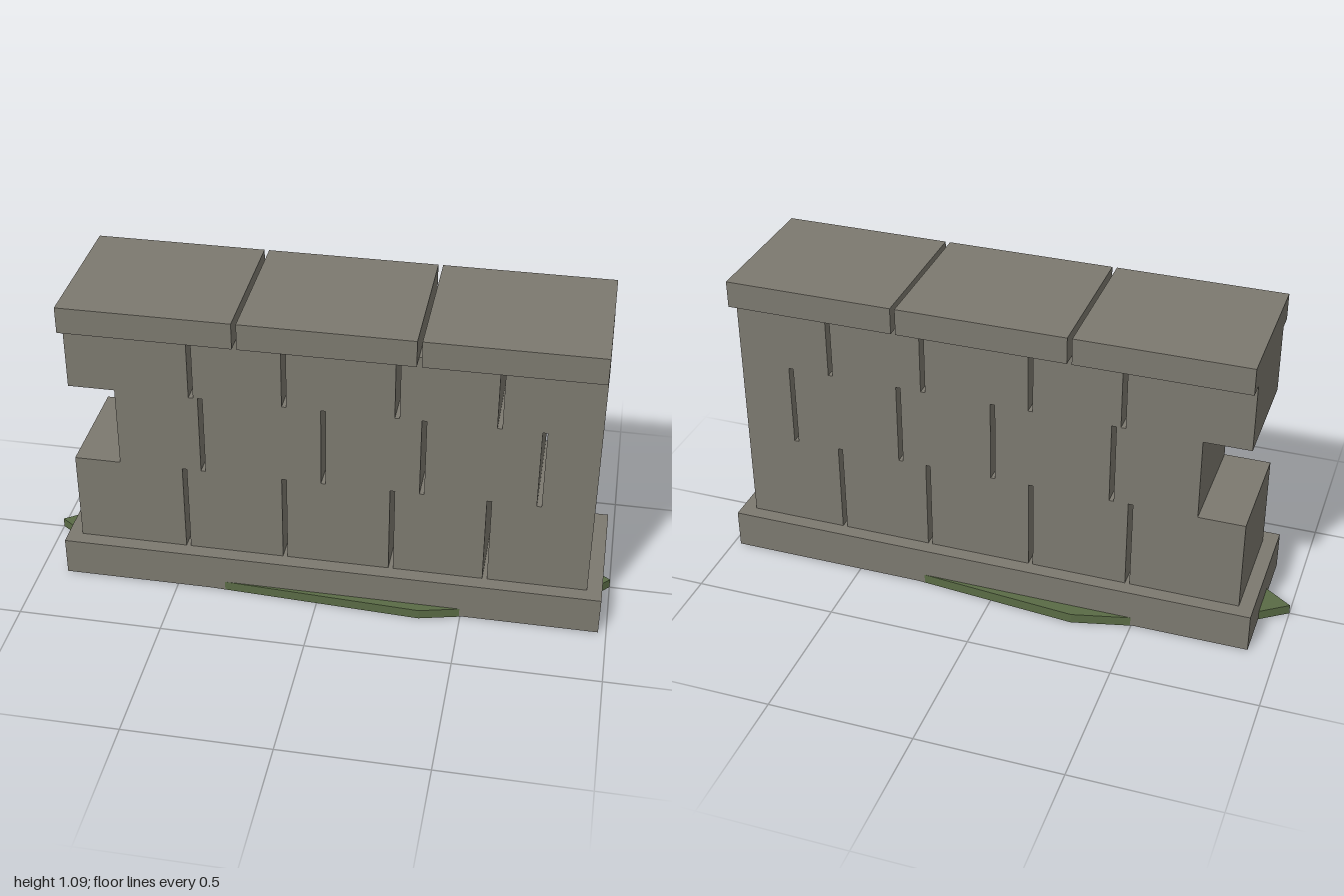
import * as THREE from 'three';

export function createModel() {
  const group = new THREE.Group();
  group.name = 'stoneWall';

  const stone = new THREE.MeshStandardMaterial({ color: 0x7c796f });
  stone.name = 'weathered stone';
  const moss = new THREE.MeshStandardMaterial({ color: 0x5a6b45 });
  moss.name = 'moss green';

  // Block given by its extents on each axis
  function block(name, x0, x1, y0, y1, z0, z1) {
    const mesh = new THREE.Mesh(new THREE.BoxGeometry(x1 - x0, y1 - y0, z1 - z0), stone);
    mesh.position.set((x0 + x1) / 2, (y0 + y1) / 2, (z0 + z1) / 2);
    mesh.name = name;
    group.add(mesh);
  }

  // Row of blocks split by narrow open joints centred on the given x positions
  function course(name, x0, x1, joints, y0, y1, z0, z1) {
    const half = 0.008;
    const edges = [x0 - half, ...joints, x1 + half];
    for (let i = 0; i < edges.length - 1; i++) {
      block(name + (i + 1), edges[i] + half, edges[i + 1] - half, y0, y1, z0, z1);
    }
  }

  // Plinth, three staggered courses (the middle one lacks its end stone), coping
  block('plinth', -0.905, 0.973, 0.002, 0.138, -0.241, 0.255);
  course('lowerStone', -0.855, 0.922, [-0.468, -0.122, 0.248, 0.573], 0.138, 0.465, -0.191, 0.204);
  course('middleStone', -0.695, 0.922, [-0.402, 0.013, 0.347, 0.738], 0.465, 0.757, -0.191, 0.204);
  course('upperStone', -0.855, 0.922, [-0.433, -0.118, 0.258, 0.592], 0.757, 0.997, -0.191, 0.204);
  course('copingStone', -0.855, 0.92, [-0.265, 0.331], 0.995, 1.088, -0.25, 0.261);

  // Irregular flat moss patch spreading out from under the plinth
  const outline = [
    [1, 0], [0.84, 0.17], [0.36, 0.289], [-0.37, 0.253], [-0.7, 0.21],
    [-1, 0], [-0.74, -0.182], [-0.3, -0.289], [0.3, -0.237], [0.82, -0.13],
  ].map(([x, z]) => new THREE.Vector2(x, -z));
  const patch = new THREE.ExtrudeGeometry(new THREE.Shape(outline), { depth: 0.034, bevelEnabled: false });
  patch.rotateX(-Math.PI / 2);
  const mossPatch = new THREE.Mesh(patch, moss);
  mossPatch.name = 'mossPatch';
  group.add(mossPatch);

  return group;
}
